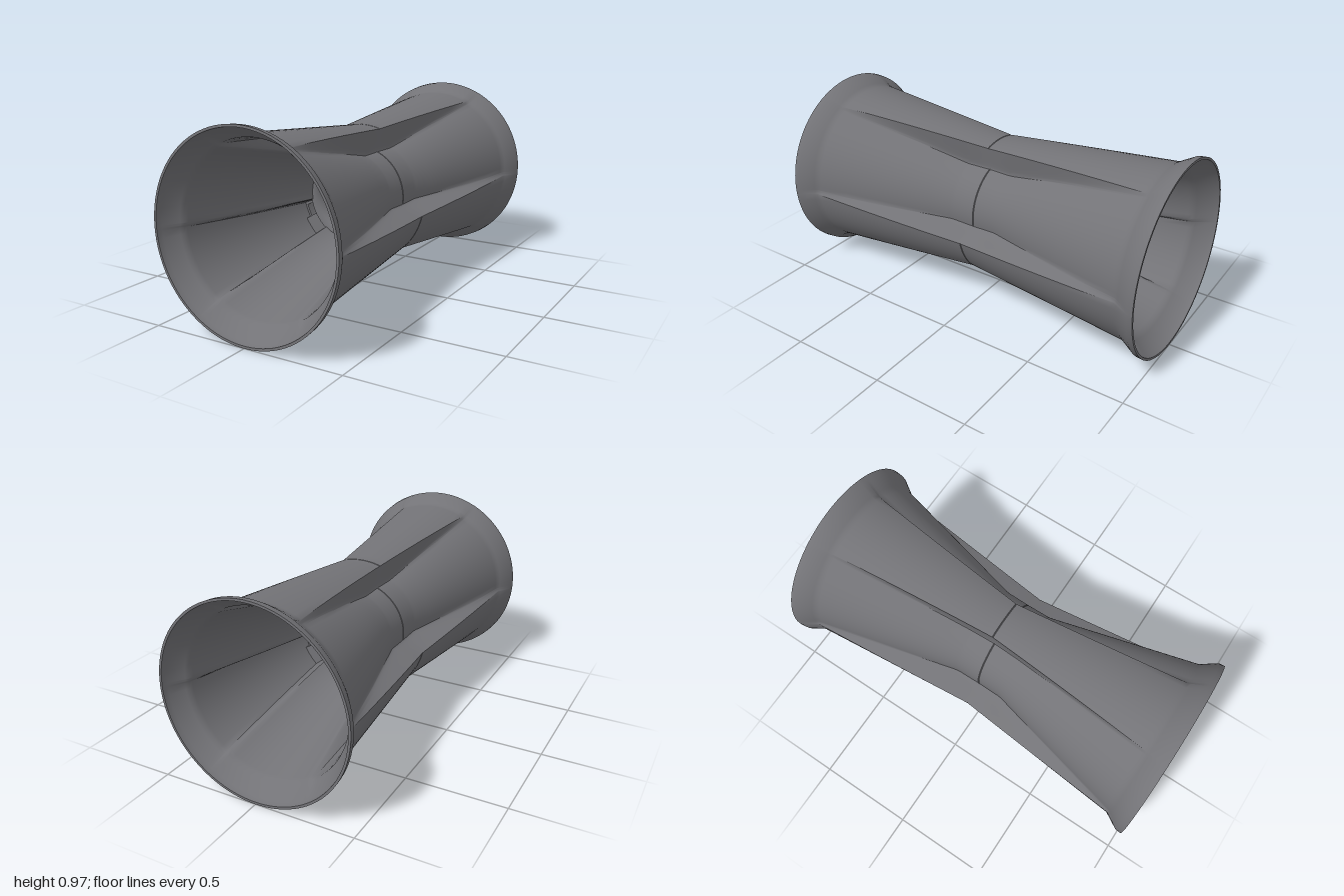
import * as THREE from 'three';
import { toCreasedNormals } from 'three/addons/utils/BufferGeometryUtils.js';

const RAD = Math.PI / 180;
const CENTRE_Y = 0.487;
const material = new THREE.MeshStandardMaterial({ color: 0x737377, side: THREE.DoubleSide });

// straight-line interpolation through [z, value] pairs
function profile(points, z) {
  for (let i = 1; i < points.length; i++) {
    const [z0, v0] = points[i - 1], [z1, v1] = points[i];
    if (z <= z1) return v0 + (v1 - v0) * (z - z0) / (z1 - z0);
  }
  return points[points.length - 1][1];
}

const LOBE_RADIUS = [[0, 0.358], [0.89, 0.438], [0.97, 0.484], [1, 0.487]];
const VALLEY_RADIUS = [[0, 0.241], [0.13, 0.243], [0.89, 0.43], [0.97, 0.484], [1, 0.487]];
const LOBE_ANGLE = [[0, 16.8], [0.89, 26], [1, 26]];
const VALLEY_ANGLE = [[0, 22], [0.89, 29], [1, 29]];
const THICKNESS = [[0, 0.021], [0.89, 0.02], [0.97, 0.013], [1, 0.012]];

// one closed cross-section: three lobes joined by three valleys
function section(z, inner) {
  const d = Math.abs(z);
  const thick = inner ? profile(THICKNESS, d) : 0;
  const seam = !inner && d < 0.001 ? 0.003 : 0;
  const lobe = profile(LOBE_RADIUS, d) - thick - seam;
  const valley = profile(VALLEY_RADIUS, d) - thick - seam;
  const shift = inner ? 2 * (1 - d) : 0;
  const a = profile(LOBE_ANGLE, d) - shift, b = profile(VALLEY_ANGLE, d) - shift;
  const ring = [];
  const add = (deg, r) => ring.push([r * Math.cos(deg * RAD), r * Math.sin(deg * RAD), z]);
  const wall = 8, top = 12, floor = 20;
  for (let k = 0; k < 3; k++) {
    const mid = 90 + k * 120;
    for (let i = 0; i < top; i++) add(mid - a + 2 * a * i / top, lobe);
    for (let i = 0; i < wall; i++) {
      const u = i / wall;
      add(mid + a + (b - a) * u, valley + (lobe - valley) * (1 - u) ** 1.7);
    }
    for (let i = 0; i < floor; i++) add(mid + b + (120 - 2 * b) * i / floor, valley);
    for (let i = 0; i < wall; i++) {
      const u = 1 - i / wall;
      add(mid + 120 - a - (b - a) * u, valley + (lobe - valley) * (1 - u) ** 1.7);
    }
  }
  return ring;
}

// skin the outside, the rims and the inside as one closed loop of sections
function shellGeometry() {
  const half = [0.003, 0.06, 0.12, 0.14, 0.25, 0.4, 0.55, 0.72, 0.87, 0.89, 0.905, 0.97, 1];
  const stations = [...half.map(z => -z).reverse(), 0, ...half];
  const rings = [
    ...stations.map(z => section(z, false)),
    ...stations.slice().reverse().map(z => section(z, true)),
  ];
  const n = rings[0].length, index = [];
  for (let i = 0; i < rings.length; i++) {
    const next = (i + 1) % rings.length;
    for (let j = 0; j < n; j++) {
      const k = (j + 1) % n;
      const p = i * n + j, q = i * n + k, r = next * n + j, s = next * n + k;
      index.push(p, q, r, q, s, r);
    }
  }
  const geometry = new THREE.BufferGeometry();
  geometry.setAttribute('position', new THREE.Float32BufferAttribute(rings.flat(2), 3));
  geometry.setIndex(index);
  return toCreasedNormals(geometry, 42 * RAD);
}

// rounded collar lining the waist
function collarGeometry() {
  const end = [[0.17, 0.05], [0.173, 0.075], [0.182, 0.1], [0.197, 0.12], [0.215, 0.13], [0.23, 0.13], [0.236, 0.12]];
  const points = [
    ...end.map(([r, z]) => new THREE.Vector2(r, z)),
    ...end.slice().reverse().map(([r, z]) => new THREE.Vector2(r, -z)),
    new THREE.Vector2(0.17, 0.05),
  ].reverse();
  const geometry = new THREE.LatheGeometry(points, 72);
  geometry.rotateX(Math.PI / 2);
  return toCreasedNormals(geometry, 35 * RAD);
}

// wedge outline about +y, angles in degrees measured towards +x
function wedge(r0, r1, low, high, PathType = THREE.Shape) {
  const path = new PathType();
  const point = (r, deg) => new THREE.Vector2(r * Math.sin(deg * RAD), r * Math.cos(deg * RAD));
  const steps = 6, points = [];
  const lerp = (range, t) => range[0] + (range[1] - range[0]) * t;
  for (let i = 0; i <= steps; i++) points.push(point(r0, lerp(low, i / steps)));
  for (let i = steps; i >= 0; i--) points.push(point(r1, lerp(high, i / steps)));
  path.setFromPoints(points);
  return path;
}

function plate(name, shape, z0, z1) {
  const geometry = new THREE.ExtrudeGeometry(shape, { depth: z1 - z0, bevelEnabled: false });
  geometry.translate(0, 0, z0);
  const mesh = new THREE.Mesh(geometry, material);
  mesh.name = name;
  return mesh;
}

// hollow peg in one half of a lobe; its back closes the opposite side
function lobePeg() {
  const peg = new THREE.Group();
  peg.name = 'lobePeg';
  const frame = wedge(0.228, 0.346, [0, 19.5], [0, 15.6]);
  frame.holes.push(wedge(0.243, 0.33, [3, 15.5], [2.2, 13.2], THREE.Path));
  const floor = wedge(0.228, 0.346, [-2.4, 19.5], [-1.7, 15.6]);
  peg.add(plate('pegFrame', frame, -0.04, 0.04), plate('pegFloor', floor, -0.07, -0.04));
  return peg;
}

export function createModel() {
  const model = new THREE.Group();
  model.name = 'flaredConnector';
  const body = new THREE.Group();
  body.name = 'body';
  body.position.y = CENTRE_Y;
  model.add(body);

  const shell = new THREE.Mesh(shellGeometry(), material);
  shell.name = 'lobedShell';
  const collar = new THREE.Mesh(collarGeometry(), material);
  collar.name = 'waistCollar';
  body.add(shell, collar);

  // interlocking pegs, one set facing each open end
  for (const facing of [0, Math.PI]) {
    const set = new THREE.Group();
    set.name = facing ? 'backPegs' : 'frontPegs';
    set.rotation.y = facing;
    for (let k = 0; k < 3; k++) {
      const peg = lobePeg();
      peg.rotation.z = k * 120 * RAD;
      set.add(peg);
    }
    body.add(set);
  }
  return model;
}
